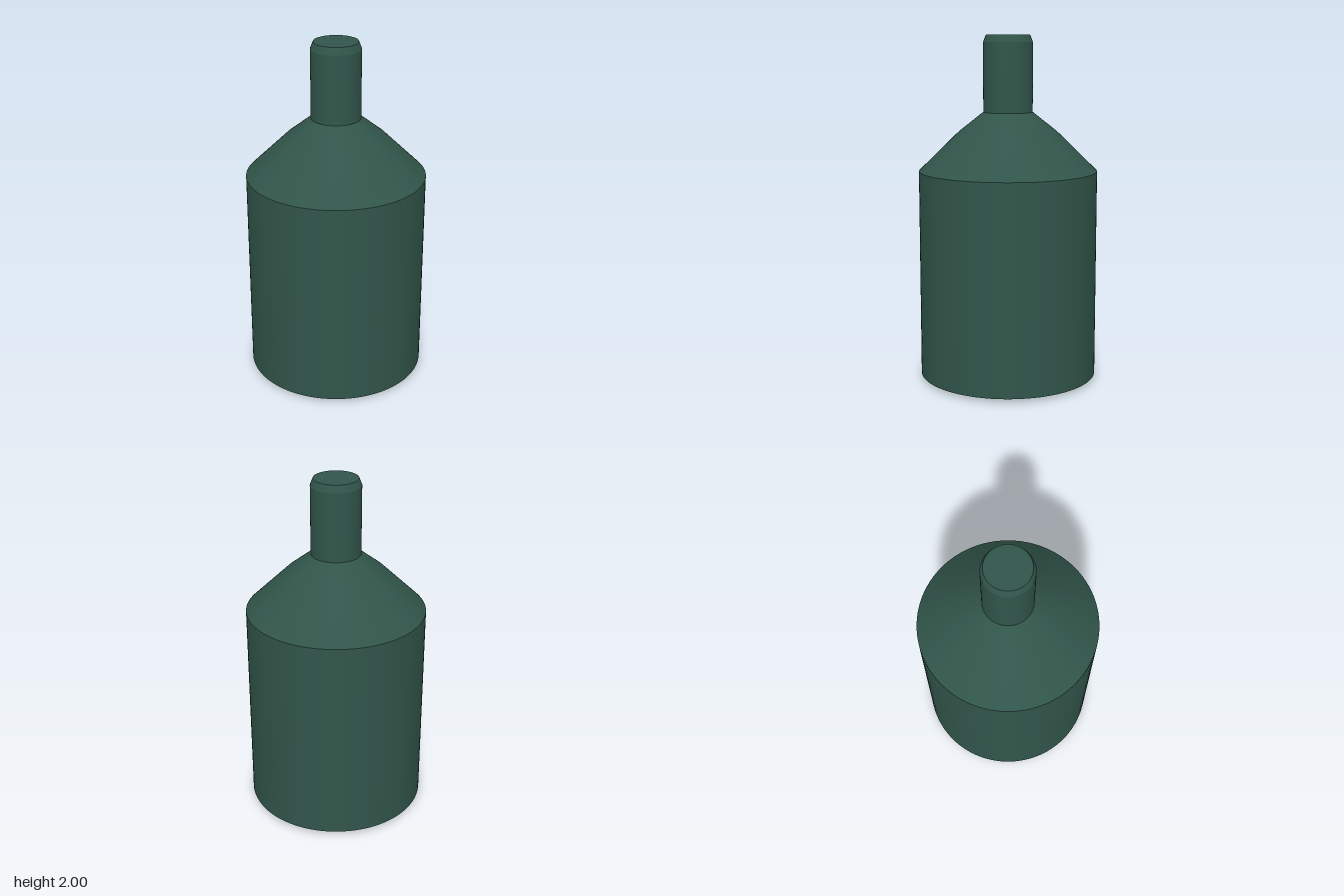
import * as THREE from 'three';

export function createModel() {
  const group = new THREE.Group();
  const green = new THREE.MeshStandardMaterial({ color: 0x31554a });
  green.name = 'dark bottle green';

  // Each band is its own lathe, so edges between bands stay sharp
  const band = (name, profile) => {
    const points = profile.map(([r, y]) => new THREE.Vector2(r, y));
    const mesh = new THREE.Mesh(new THREE.LatheGeometry(points, 96), green);
    mesh.name = name;
    group.add(mesh);
  };

  // Base: flat foot with a shallow bevel out to the wall
  band('foot', [[0, 0], [0.4, 0]]);
  band('footBevel', [[0.4, 0], [0.515, 0.022]]);

  // Straight body and the slightly bowed shoulder
  band('body', [[0.515, 0.022], [0.515, 1.225]]);
  band('shoulder', [[0.515, 1.225], [0.285, 1.45], [0.142, 1.563]]);

  // Neck with a chamfered, closed top
  band('neck', [[0.142, 1.563], [0.142, 1.96]]);
  band('neckChamfer', [[0.142, 1.96], [0.126, 2]]);
  band('neckTop', [[0.126, 2], [0, 2]]);

  return group;
}
